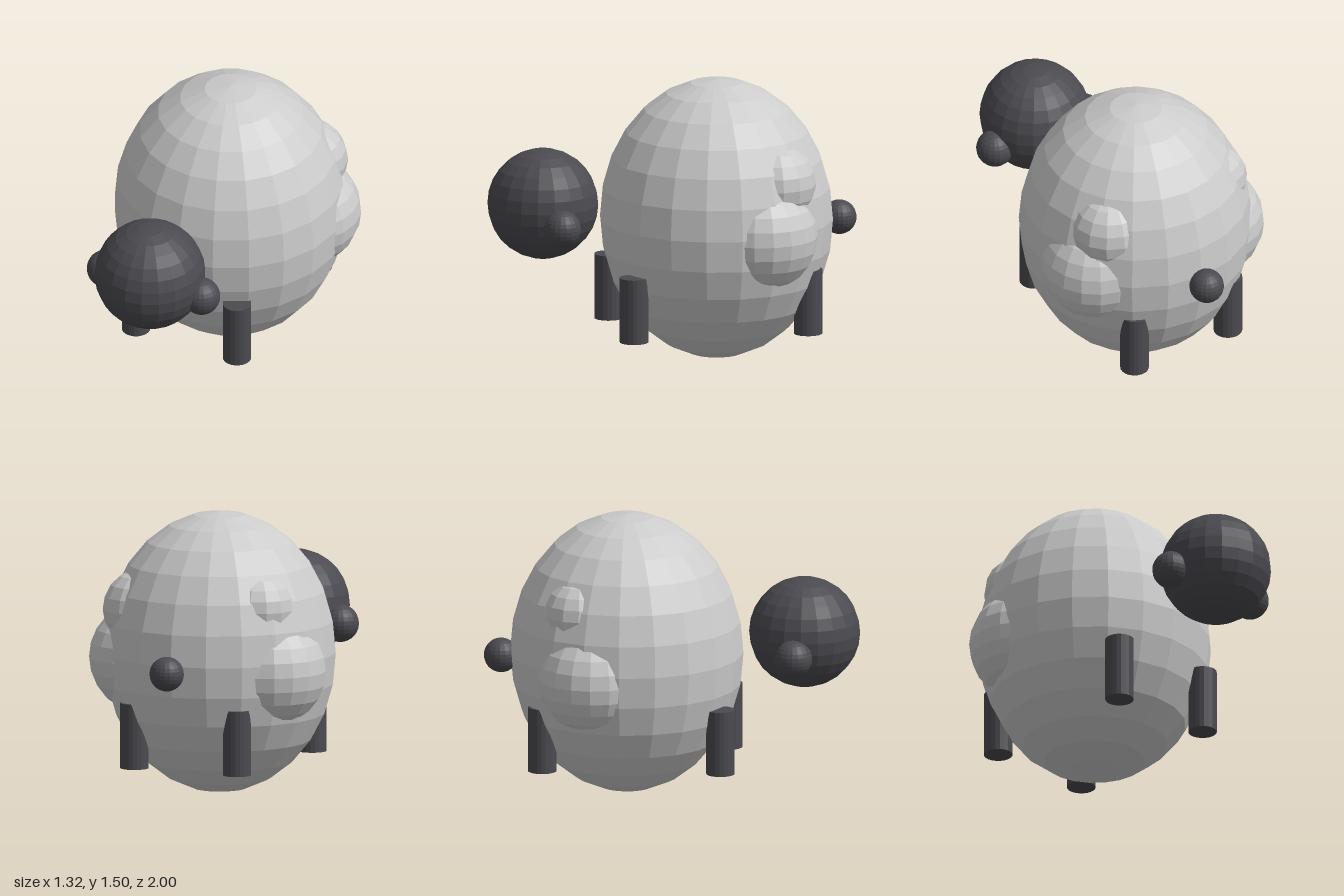
import * as THREE from 'three';

const wool = new THREE.MeshStandardMaterial({ color: 0xcccccc, flatShading: true });
const dark = new THREE.MeshStandardMaterial({ color: 0x4a4a50, flatShading: true });

export function createModel() {
  const model = new THREE.Group();

  function add(name, geometry, material, x, y, z) {
    const mesh = new THREE.Mesh(geometry, material);
    mesh.name = name;
    mesh.position.set(x, y, z);
    model.add(mesh);
    return mesh;
  }
  const ball = (r, w = 20, h = 14) => new THREE.SphereGeometry(r, w, h);

  // Egg-shaped woolly body
  add('body', ball(1), wool, 0, 0.752, -0.24).scale.set(0.62, 0.752, 0.62);

  // Wool tufts bulging from both flanks, slightly uneven
  add('leftLargeTuft', ball(0.3, 18, 12), wool, 0.36, 0.72, -0.4);
  add('rightLargeTuft', ball(0.3, 18, 12), wool, -0.36, 0.69, -0.39);
  add('leftSmallTuft', ball(0.22, 14, 10), wool, 0.33, 0.99, -0.48);
  add('rightSmallTuft', ball(0.2, 14, 10), wool, -0.325, 1.03, -0.46);

  // Head and tail
  add('head', ball(0.295), dark, 0, 0.875, 0.705);
  add('tail', ball(0.092), dark, 0, 0.72, -0.908);

  // Ears and legs, one set per side
  const ear = ball(0.1);
  const leg = new THREE.CylinderGeometry(0.076, 0.076, 0.35, 20);
  for (const [side, s] of [['left', 1], ['right', -1]]) {
    add(side + 'Ear', ear, dark, s * 0.285, 0.795, 0.665);
    add(side + 'FrontLeg', leg, dark, s * 0.3, 0.34, 0.278);
    add(side + 'BackLeg', leg, dark, s * 0.3, 0.34, -0.669);
  }
  return model;
}
